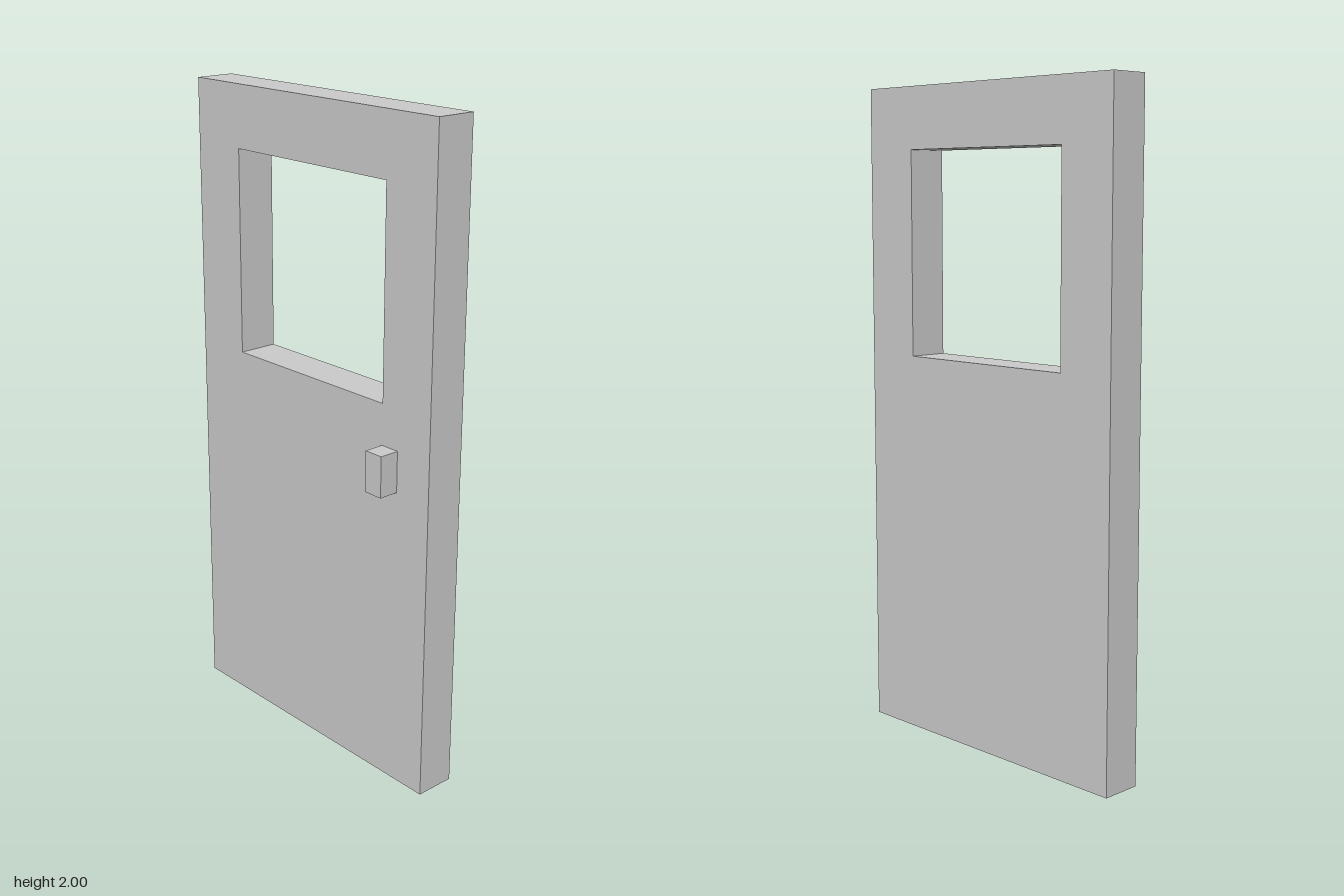
import * as THREE from 'three';

const material = new THREE.MeshStandardMaterial({ color: 0xcccccc, flatShading: true });

// Traces a rectangle centred on x = 0 onto a shape or path
function rectangle(path, halfWidth, bottom, top) {
  path.moveTo(-halfWidth, bottom);
  path.lineTo(halfWidth, bottom);
  path.lineTo(halfWidth, top);
  path.lineTo(-halfWidth, top);
  path.closePath();
  return path;
}

export function createModel() {
  const group = new THREE.Group();
  group.name = 'door';

  // Door panel with a square window opening, thickness along x
  const outline = rectangle(new THREE.Shape(), 0.5, 0, 2);
  outline.holes.push(rectangle(new THREE.Path(), 0.3125, 1.1875, 1.8125));
  const panelGeometry = new THREE.ExtrudeGeometry(outline, { depth: 0.125, bevelEnabled: false });
  panelGeometry.rotateY(Math.PI / 2);
  const panel = new THREE.Mesh(panelGeometry, material);
  panel.name = 'doorPanel';
  panel.position.x = -0.03125;
  group.add(panel);

  // Block handle on one face, near the edge
  const handle = new THREE.Mesh(new THREE.BoxGeometry(0.0625, 0.125, 0.0625), material);
  handle.name = 'handle';
  handle.position.set(-0.0625, 1, 0.34375);
  group.add(handle);

  return group;
}
